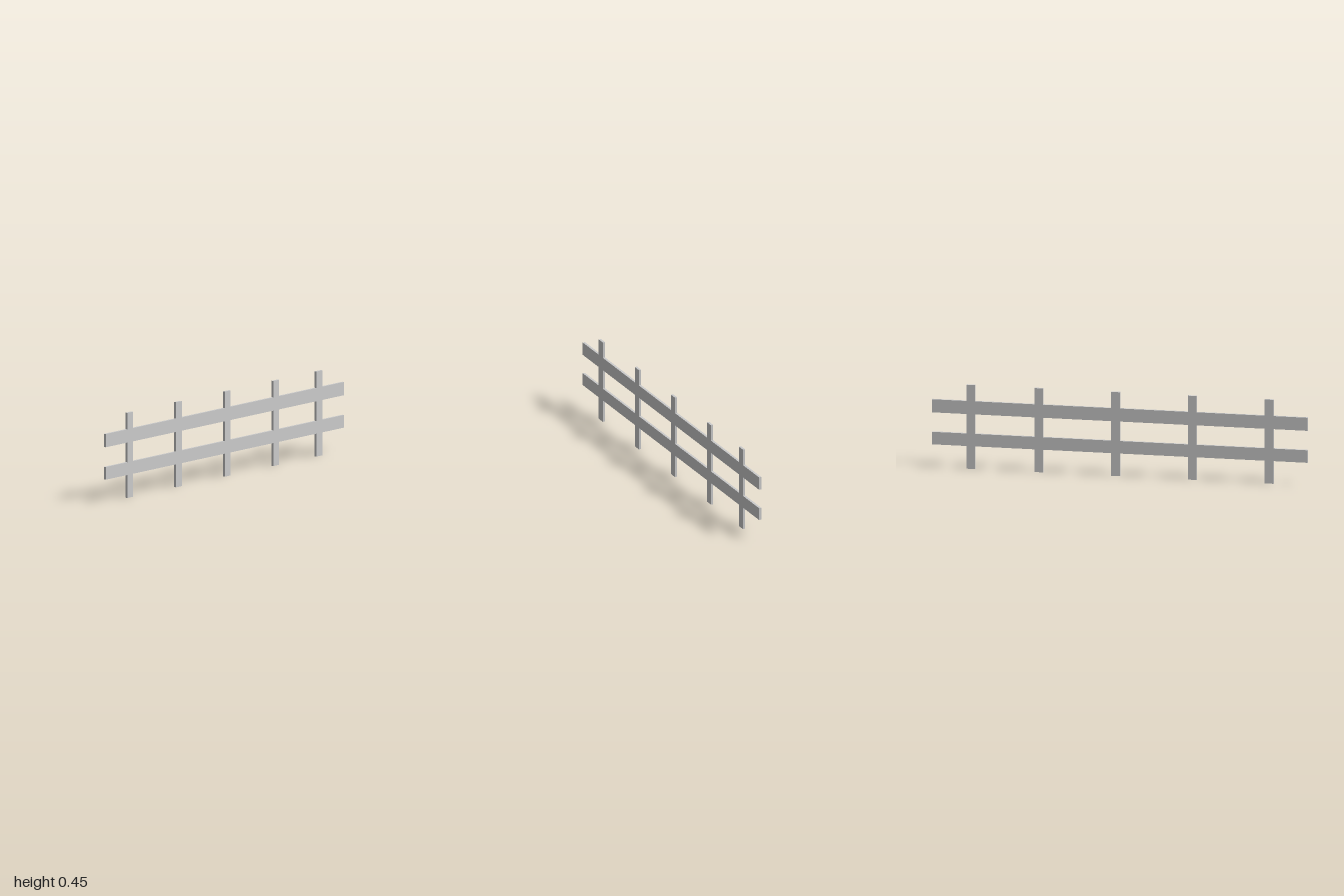
import * as THREE from 'three';

const DEPTH = 0.013;
const POST_WIDTH = 0.047;
const POST_HEIGHT = 0.45;

export function createModel() {
  const fence = new THREE.Group();
  fence.name = 'fence';
  const material = new THREE.MeshStandardMaterial({ color: 0xcccccc, flatShading: true });

  const addBoard = (name, width, height, x, y) => {
    const board = new THREE.Mesh(new THREE.BoxGeometry(width, height, DEPTH), material);
    board.name = name;
    board.position.set(x, y, 0);
    fence.add(board);
  };

  // Two full-length rails
  addBoard('lowerRail', 2, 0.067, 0, 0.155);
  addBoard('upperRail', 2, 0.07, 0, 0.328);

  // Five upright posts, flush with the rails and slightly unevenly spaced
  [-0.795, -0.386, 0.023, 0.431, 0.793].forEach((x, i) => {
    addBoard(`post${i + 1}`, POST_WIDTH, POST_HEIGHT, x, POST_HEIGHT / 2);
  });

  return fence;
}
